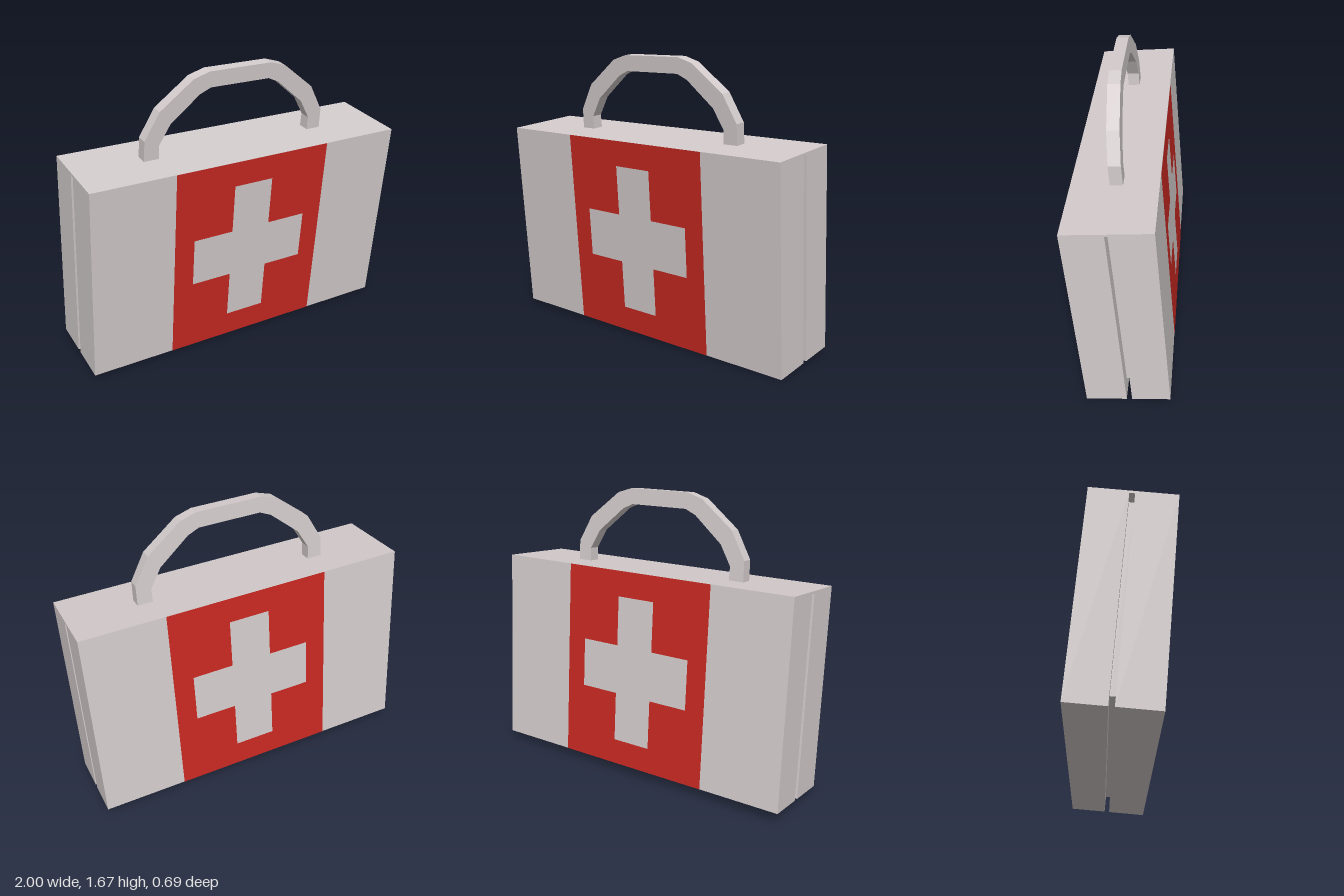
import * as THREE from 'three';

const W = 1.953, H = 1.175, D = 0.468; // case size
const SEAM_BACK = -0.021, SEAM_FRONT = 0.009, SEAM_DEPTH = 0.08;

const shellMat = new THREE.MeshStandardMaterial({ color: 0xd4cccc, flatShading: true });
const redMat = new THREE.MeshStandardMaterial({ color: 0xc82822, flatShading: true });

function addMesh(parent, name, geometry, material) {
  const mesh = new THREE.Mesh(geometry, material);
  mesh.name = name;
  parent.add(mesh);
  return mesh;
}

// Box given by its lower and upper corners
function addBox(parent, name, [x0, y0, z0], [x1, y1, z1]) {
  const mesh = addMesh(parent, name, new THREE.BoxGeometry(x1 - x0, y1 - y0, z1 - z0), shellMat);
  mesh.position.set((x0 + x1) / 2, (y0 + y1) / 2, (z0 + z1) / 2);
}

const toShape = (pts) => new THREE.Shape(pts.map(([x, y]) => new THREE.Vector2(x, y)));

// Full-height red band with a cross-shaped opening
function bandGeometry() {
  const bw = 0.488, bh = H / 2;
  const band = toShape([[-bw, -bh], [bw, -bh], [bw, bh], [-bw, bh]]);
  const a = 0.367, b = 0.122, c = 0.438, d = 0.146;
  band.holes.push(toShape([
    [b, c], [b, d], [a, d], [a, -d], [b, -d], [b, -c],
    [-b, -c], [-b, -d], [-a, -d], [-a, d], [-b, d], [-b, c],
  ]));
  return new THREE.ShapeGeometry(band);
}

// Faceted arch, mirrored from its right half
function handleGeometry() {
  const outer = [[0.58, 0.58], [0.578, 0.705], [0.49, 0.862], [0.29, 1.018], [0.195, 1.047]];
  const inner = [[0.49, 0.58], [0.492, 0.665], [0.425, 0.78], [0.252, 0.925], [0.185, 0.955]];
  const mirror = (pts) => pts.map(([x, y]) => [-x, y]).reverse();
  const outline = [...outer, ...mirror(outer), ...mirror(inner).reverse(), ...inner.slice().reverse()];
  const depth = 0.068;
  return new THREE.ExtrudeGeometry(toShape(outline), { depth, bevelEnabled: false })
    .translate(0, 0, -0.01 - depth / 2);
}

export function createModel() {
  const model = new THREE.Group();
  model.name = 'firstAidCase';
  const x = W / 2, y = H / 2, z = D / 2;

  // Two shells, with a recessed core leaving a groove round the sides and bottom
  addBox(model, 'frontShell', [-x, -y, SEAM_FRONT], [x, y, z]);
  addBox(model, 'backShell', [-x, -y, -z], [x, y, SEAM_BACK]);
  addBox(model, 'seamCore', [-x + SEAM_DEPTH, -y + SEAM_DEPTH, SEAM_BACK],
    [x - SEAM_DEPTH, y - 0.01, SEAM_FRONT]);
  addBox(model, 'topStrip', [-x, y - 0.015, SEAM_BACK], [x, y, SEAM_FRONT]);

  // Red bands on both faces
  for (const side of [1, -1]) {
    const band = addMesh(model, side > 0 ? 'frontCrossBand' : 'backCrossBand', bandGeometry(), redMat);
    band.position.z = side * (z + 0.0015);
    if (side < 0) band.rotation.y = Math.PI;
  }

  addMesh(model, 'handle', handleGeometry(), shellMat);

  // The whole case leans slightly
  model.rotation.set(0.087, 0.061, -0.018);
  model.position.y = 0.617;

  const group = new THREE.Group();
  group.add(model);
  return group;
}
